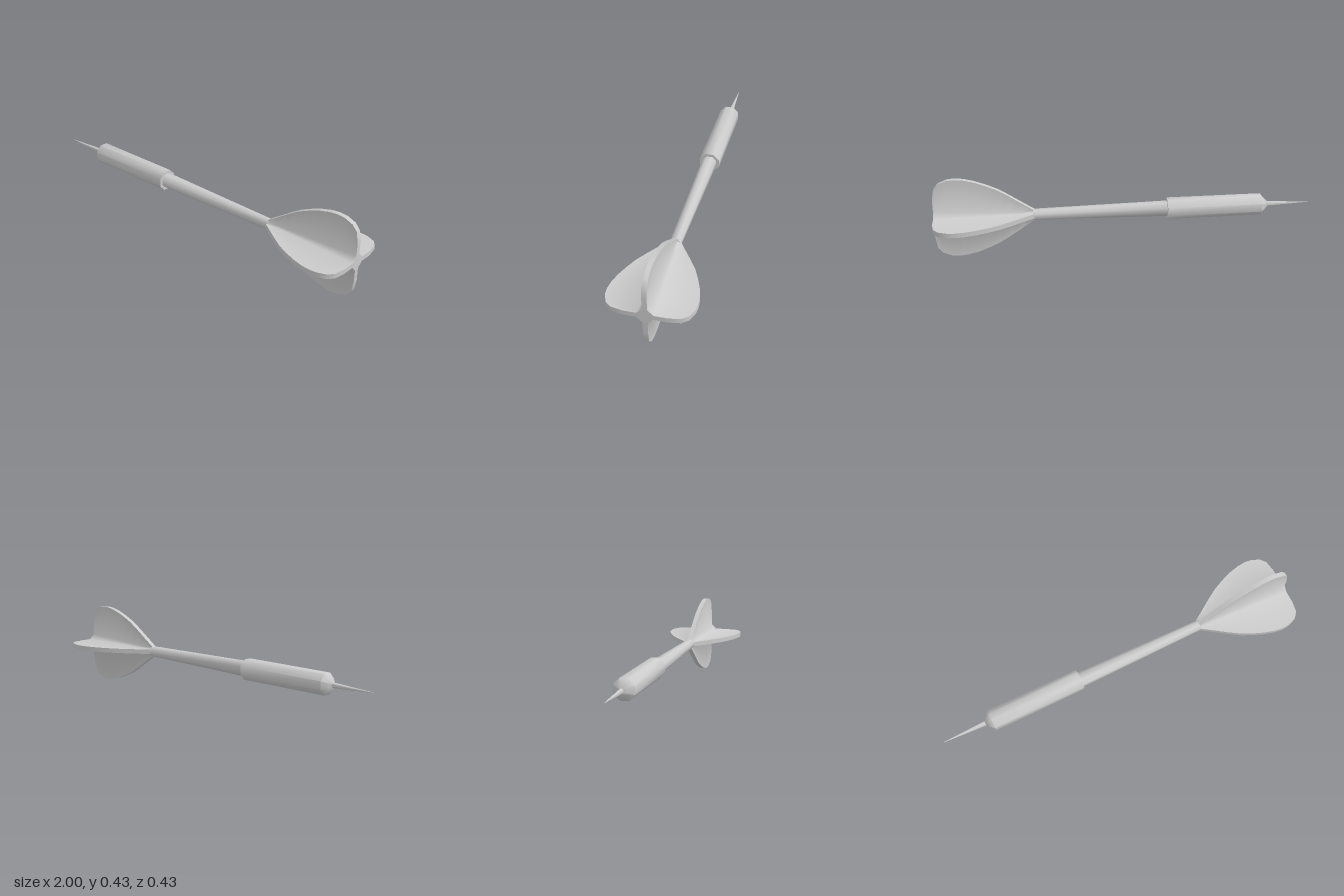
import * as THREE from 'three';
import { toCreasedNormals } from 'three/addons/utils/BufferGeometryUtils.js';

const material = new THREE.MeshStandardMaterial({ color: 0xcccccc });
const CREASE = 0.92;

function addMesh(group, name, geometry) {
  const mesh = new THREE.Mesh(toCreasedNormals(geometry, CREASE), material);
  mesh.name = name;
  group.add(mesh);
}

// Eight-sided turned part along x; each profile entry is [x, half width across flats]
function turned(profile) {
  const points = profile.map(([x, r]) => new THREE.Vector2(r / Math.cos(Math.PI / 8), x));
  return new THREE.LatheGeometry(points, 8, Math.PI / 8).rotateZ(-Math.PI / 2);
}

// Four crossed fins lofted along x, joined at the middle by a diamond-shaped core
function flightGeometry() {
  const outline = [
    [0.48, 0.028], [0.54, 0.068], [0.6, 0.109], [0.66, 0.147], [0.72, 0.175],
    [0.78, 0.198], [0.835, 0.212], [0.88, 0.217], [0.92, 0.213], [0.965, 0.195],
    [0.99, 0.165], [1, 0.105],
  ];
  const t = 0.0125; // half thickness of a fin
  const n = 16;
  const positions = [];
  const indices = [];
  outline.forEach(([x, r], i) => {
    const root = THREE.MathUtils.mapLinear(x, 0.48, 1, 0.0175, 0.04);
    const fin = [[root, -t], [r, -t], [r, t], [root, t]];
    for (let q = 0; q < 4; q++) {
      const c = Math.round(Math.cos(q * Math.PI / 2));
      const s = Math.round(Math.sin(q * Math.PI / 2));
      for (const [u, v] of fin) positions.push(x, u * c - v * s, u * s + v * c);
    }
    if (i === 0) return;
    for (let j = 0; j < n; j++) {
      const a = (i - 1) * n + j;
      const b = (i - 1) * n + (j + 1) % n;
      indices.push(a, b, a + n, b, b + n, a + n);
    }
  });
  // Tail cap
  const last = (outline.length - 1) * n;
  const centre = positions.length / 3;
  positions.push(1, 0, 0);
  for (let j = 0; j < n; j++) indices.push(centre, last + j, last + (j + 1) % n);

  const geometry = new THREE.BufferGeometry();
  geometry.setAttribute('position', new THREE.Float32BufferAttribute(positions, 3));
  geometry.setIndex(indices);
  return geometry;
}

export function createModel() {
  const dart = new THREE.Group();
  dart.name = 'dart';

  const body = new THREE.Group();
  body.name = 'body';
  body.position.y = 0.217;
  dart.add(body);

  addMesh(body, 'point', turned([[-1, 0.001], [-0.76, 0.013]]));
  addMesh(body, 'barrel', turned([
    [-0.768, 0], [-0.768, 0.016], [-0.732, 0.053], [-0.225, 0.053], [-0.225, 0],
  ]));
  addMesh(body, 'shaft', turned([[-0.23, 0.038], [0.485, 0.027], [0.485, 0]]));
  addMesh(body, 'flight', flightGeometry());

  return dart;
}
